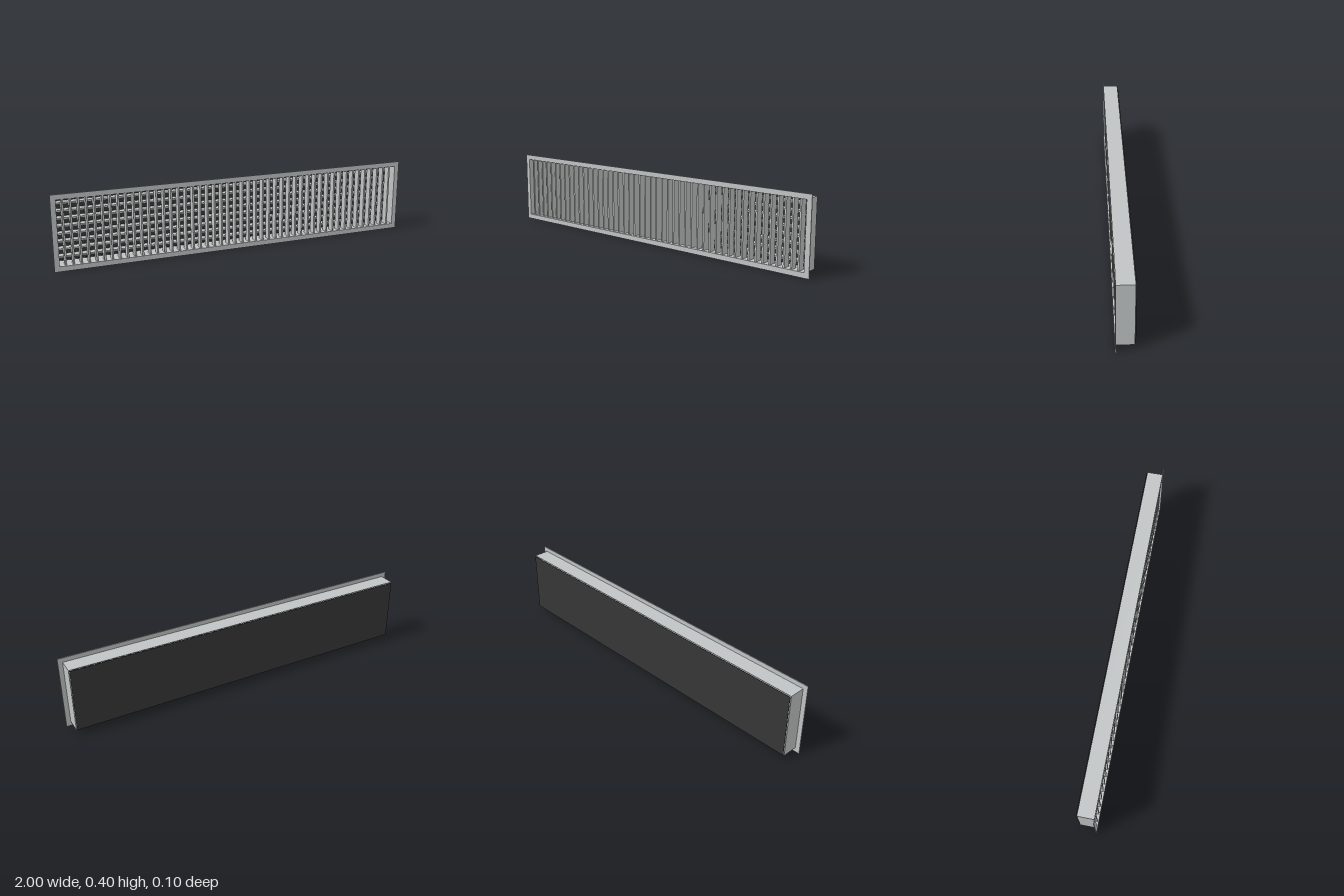
import * as THREE from 'three';

export function createModel() {
  const model = new THREE.Group();
  model.name = 'ventGrille';
  const metal = new THREE.MeshStandardMaterial({ color: 0xc0c4c4 });
  metal.name = 'light grey metal';
  const dark = new THREE.MeshStandardMaterial({ color: 0x363636 });
  dark.name = 'dark backing';

  const midY = 0.2;

  const box = (name, w, h, d, x, y, z, material, parent = model) => {
    const mesh = new THREE.Mesh(new THREE.BoxGeometry(w, h, d), material);
    mesh.name = name;
    mesh.position.set(x, y, z);
    parent.add(mesh);
  };

  // Rectangular ring extruded from z0 to z1
  const ring = (name, w, h, innerW, innerH, z0, z1) => {
    const rect = (T, a, b) => new T([
      new THREE.Vector2(-a / 2, -b / 2), new THREE.Vector2(a / 2, -b / 2),
      new THREE.Vector2(a / 2, b / 2), new THREE.Vector2(-a / 2, b / 2),
    ]);
    const shape = rect(THREE.Shape, w, h);
    shape.holes.push(rect(THREE.Path, innerW, innerH));
    const geometry = new THREE.ExtrudeGeometry(shape, { depth: z1 - z0, bevelEnabled: false });
    const mesh = new THREE.Mesh(geometry, metal);
    mesh.name = name;
    mesh.position.set(0, midY, z0);
    model.add(mesh);
  };

  // Front flange and the duct collar behind it
  ring('frontFlange', 2, 0.4, 1.946, 0.346, 0.043, 0.048);
  ring('ductCollar', 1.952, 0.352, 1.946, 0.346, -0.043, 0.043);

  // Upright blades in front
  const uprights = new THREE.Group();
  uprights.name = 'verticalBlades';
  model.add(uprights);
  for (let i = 0; i < 48; i++) {
    box('verticalBlade', 0.009, 0.346, 0.04, -0.94 + i * 0.04, midY, 0.022, metal, uprights);
  }

  // Level blades behind the uprights
  const levels = new THREE.Group();
  levels.name = 'horizontalBlades';
  model.add(levels);
  for (let i = 0; i < 8; i++) {
    box('horizontalBlade', 1.946, 0.009, 0.04, 0, 0.06 + i * 0.04, -0.021, metal, levels);
  }

  // Dark plate closing the back, a hair behind the collar
  box('backPlate', 1.946, 0.346, 0.002, 0, midY, -0.047, dark);

  return model;
}
